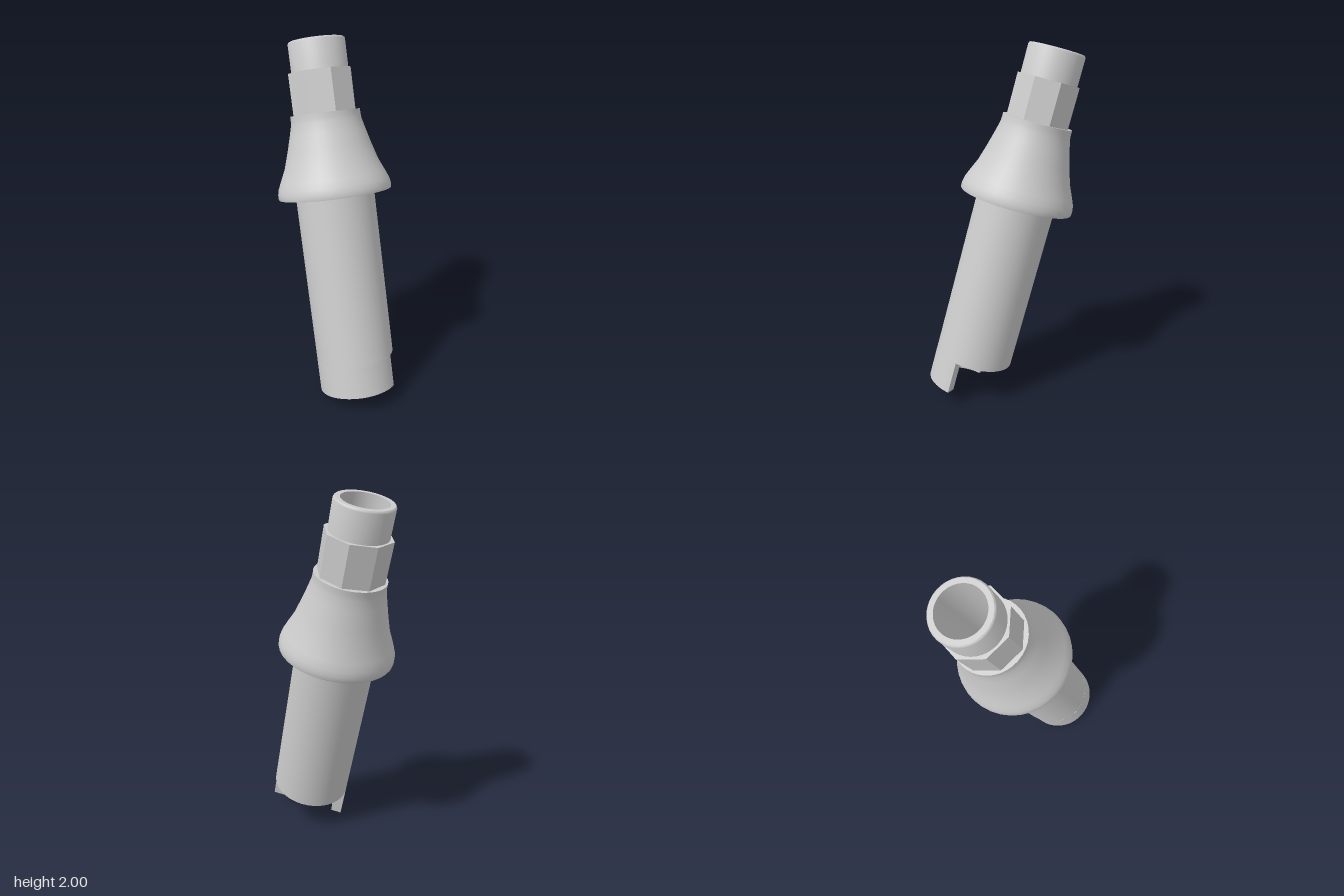
import * as THREE from 'three';
import { toCreasedNormals } from 'three/addons/utils/BufferGeometryUtils.js';

const SEGMENTS = 36;
const DEG = Math.PI / 180;

// Radii and depths, measured along the axis down from the top rim
const BORE_TOP = 0.124, BORE = 0.16, TUBE = 0.222;
const HEX_TOP = 0.167, SHOULDER = 0.395, FLANGE = 0.847, STEP = 1.8, END = 1.985;

export function createModel() {
  const model = new THREE.Group();
  model.name = 'tiltedAbutment';
  const material = new THREE.MeshStandardMaterial({ color: 0xcccccc });
  const flat = new THREE.MeshStandardMaterial({ color: 0xcccccc, flatShading: true });

  // Everything is turned about one leaning axis
  const body = new THREE.Group();
  body.name = 'body';
  body.position.set(-0.195, 1.957, -0.25);
  body.quaternion.setFromUnitVectors(
    new THREE.Vector3(0, 1, 0),
    new THREE.Vector3(-0.178, 1, -0.224).normalize()
  );
  model.add(body);

  const add = (name, geometry, mat = material) => {
    const mesh = new THREE.Mesh(geometry, mat);
    mesh.name = name;
    body.add(mesh);
    return mesh;
  };

  // Profiles are [radius, depth] pairs, outer walls listed from bottom to top
  const turn = (profile, segments = SEGMENTS, start = 0) => new THREE.LatheGeometry(
    profile.map(([r, d]) => new THREE.Vector2(r, -d)), segments, start
  );
  const turned = (name, profile) => add(name, toCreasedNormals(turn(profile), 35 * DEG));

  // Collar with a slightly eased rim
  turned('collar', [
    [0.158, SHOULDER], [0.158, 0.012], [0.155, 0.004], [0.15, 0], [BORE_TOP, 0],
  ]);

  // Eight-sided drive section
  add('octagonDrive', turn(
    [[0.183, SHOULDER + 0.005], [0.183, HEX_TOP], [0.15, HEX_TOP]], 8, 33 * DEG
  ), flat);

  // Flared shoulder with its flat underside
  turned('flare', [
    [TUBE - 0.01, FLANGE], [0.317, FLANGE], [0.319, 0.84], [0.319, 0.818],
    [0.313, 0.79], [0.296, 0.75], [0.264, 0.68], [0.236, 0.59], [0.211, 0.5],
    [0.197, 0.445], [0.195, 0.42], [0.195, SHOULDER], [0.15, SHOULDER],
  ]);

  // Long tube with the ring face at the step
  turned('tube', [[BORE, STEP], [TUBE, STEP], [TUBE, FLANGE - 0.02]]);

  // Through bore, narrower at the top
  turned('bore', [[BORE_TOP, 0], [BORE_TOP, 0.75], [BORE, 0.8], [BORE, STEP]]);

  // Half-round tongue continuing one side of the tube
  const half = new THREE.Shape();
  half.absarc(0, 0, TUBE, 0, Math.PI, false);
  half.absarc(0, 0, BORE, Math.PI, 0, true);
  half.closePath();
  const tongue = new THREE.ExtrudeGeometry(half, {
    depth: END - STEP, bevelEnabled: false, curveSegments: SEGMENTS / 2,
  });
  tongue.rotateX(Math.PI / 2);
  tongue.rotateY(-11 * DEG);
  tongue.translate(0, -STEP, 0);
  add('tongue', toCreasedNormals(tongue, 35 * DEG));

  return model;
}
